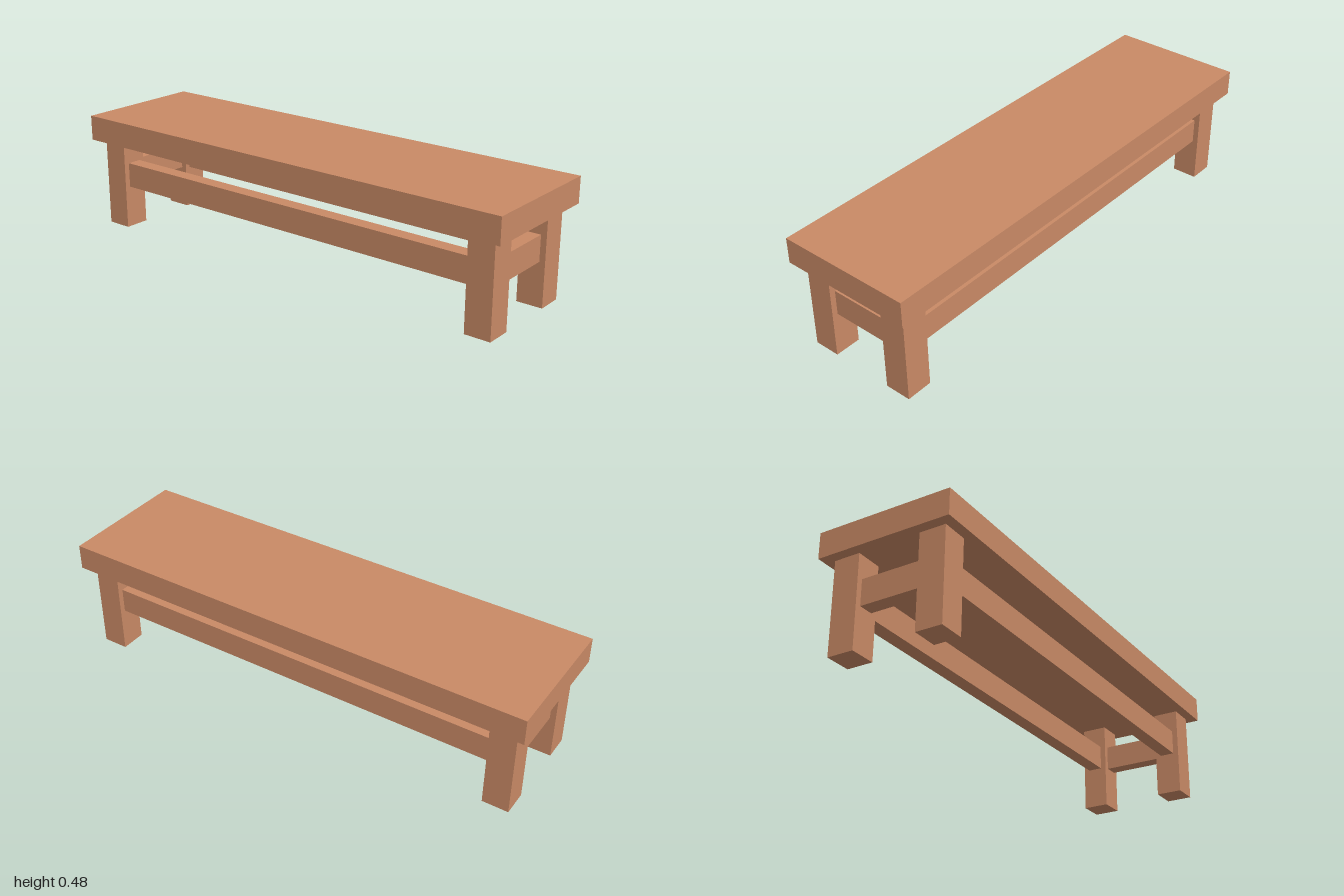
import * as THREE from 'three';

export function createModel() {
  const group = new THREE.Group();
  const wood = new THREE.MeshStandardMaterial({ color: 0xc98a66, flatShading: true });

  const addBox = (name, size, position) => {
    const mesh = new THREE.Mesh(new THREE.BoxGeometry(...size), wood);
    mesh.name = name;
    mesh.position.set(...position);
    group.add(mesh);
  };

  const legX = 0.181, legZ = 0.905;      // leg centres
  const legW = 0.107, legH = 0.375;
  const railH = 0.105, railT = 0.06, railY = 0.23;

  // Thick plank seat
  addBox('seat', [0.552, 0.105, 2], [0, legH + 0.0525, 0]);

  for (const [side, sx] of [['Left', 1], ['Right', -1]]) {
    // Square legs at the corners
    for (const [end, sz] of [['front', 1], ['back', -1]]) {
      addBox(`${end}${side}Leg`, [legW, legH, legW], [sx * legX, legH / 2, sz * legZ]);
    }
    // Long rails between the front and back legs
    addBox(`long${side}Rail`, [railT, railH, 2 * legZ - legW], [sx * legX, railY, 0]);
  }

  // Short rails between the left and right legs
  for (const [end, sz] of [['front', 1], ['back', -1]]) {
    addBox(`${end}Rail`, [2 * legX - legW, railH, railT], [0, railY, sz * legZ]);
  }

  return group;
}
